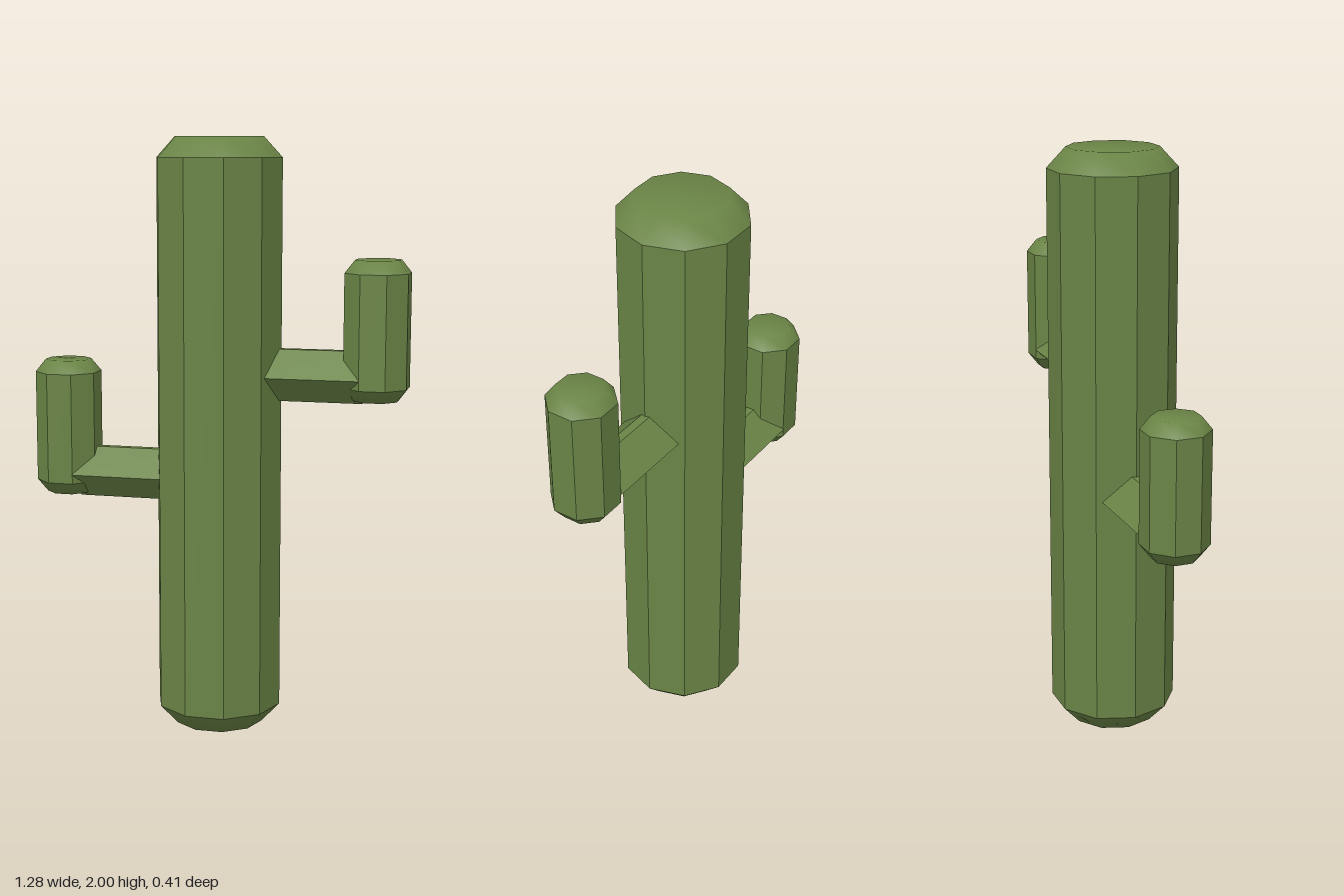
import * as THREE from 'three';

const green = new THREE.MeshStandardMaterial({ color: 0x6a8446 });
green.name = 'cactus green';

function mesh(name, geometry) {
  const m = new THREE.Mesh(geometry, green);
  m.name = name;
  return m;
}

function faceted(geometry) {
  const g = geometry.index ? geometry.toNonIndexed() : geometry;
  g.computeVertexNormals();
  return g;
}

// Upright column with flat sides and softly shaded bevelled ends
function column(name, { radius, rim, bevel, bottom, top, sides, turn }) {
  const group = new THREE.Group();
  group.name = name;
  const height = top - bottom - 2 * bevel;
  const body = faceted(new THREE.CylinderGeometry(radius, radius, height, sides, 1, true, turn));
  body.translate(0, (top + bottom) / 2, 0);
  const cap = (pts) =>
    new THREE.LatheGeometry(pts.map(([r, y]) => new THREE.Vector2(r, y)), sides, turn);
  group.add(
    mesh(name + 'Body', body),
    mesh(name + 'Top', cap([[radius, top - bevel], [rim, top], [0, top]])),
    mesh(name + 'Base', cap([[0, bottom], [rim, bottom], [radius, bottom + bevel]])),
  );
  return group;
}

// Horizontal branch with a diamond section whose upper and lower ridges are blunted
function branch(length) {
  const w = 0.107, h = 0.087, blunt = 0.014;
  const section = new THREE.Shape(
    [[w, 0], [blunt, h], [-blunt, h], [-w, 0], [-blunt, -h], [blunt, -h]]
      .map(([z, y]) => new THREE.Vector2(z, y)),
  );
  const g = new THREE.ExtrudeGeometry(section, { depth: length, bevelEnabled: false });
  g.rotateY(Math.PI / 2);
  return faceted(g);
}

// Elbowed arm: side is +1 for the left, -1 for the right
function arm(name, side, y) {
  const group = new THREE.Group();
  group.name = name;
  const start = 0.1, end = 0.49;
  const limb = mesh(name + 'Branch', branch(end - start));
  limb.position.set(side > 0 ? start : -end, y, 0);
  const tip = column(name + 'Tip', {
    radius: 0.113, rim: 0.078, bevel: 0.043, bottom: -0.075, top: 0.388,
    sides: 8, turn: Math.PI / 8,
  });
  tip.position.set(side * 0.535, y, 0);
  group.add(limb, tip);
  return group;
}

export function createModel() {
  const cactus = new THREE.Group();
  cactus.name = 'cactus';
  cactus.add(
    column('trunk', {
      radius: 0.215, rim: 0.152, bevel: 0.068, bottom: 0, top: 2,
      sides: 10, turn: Math.PI / 2,
    }),
    arm('leftArm', 1, 1.217),
    arm('rightArm', -1, 0.86),
  );
  return cactus;
}
